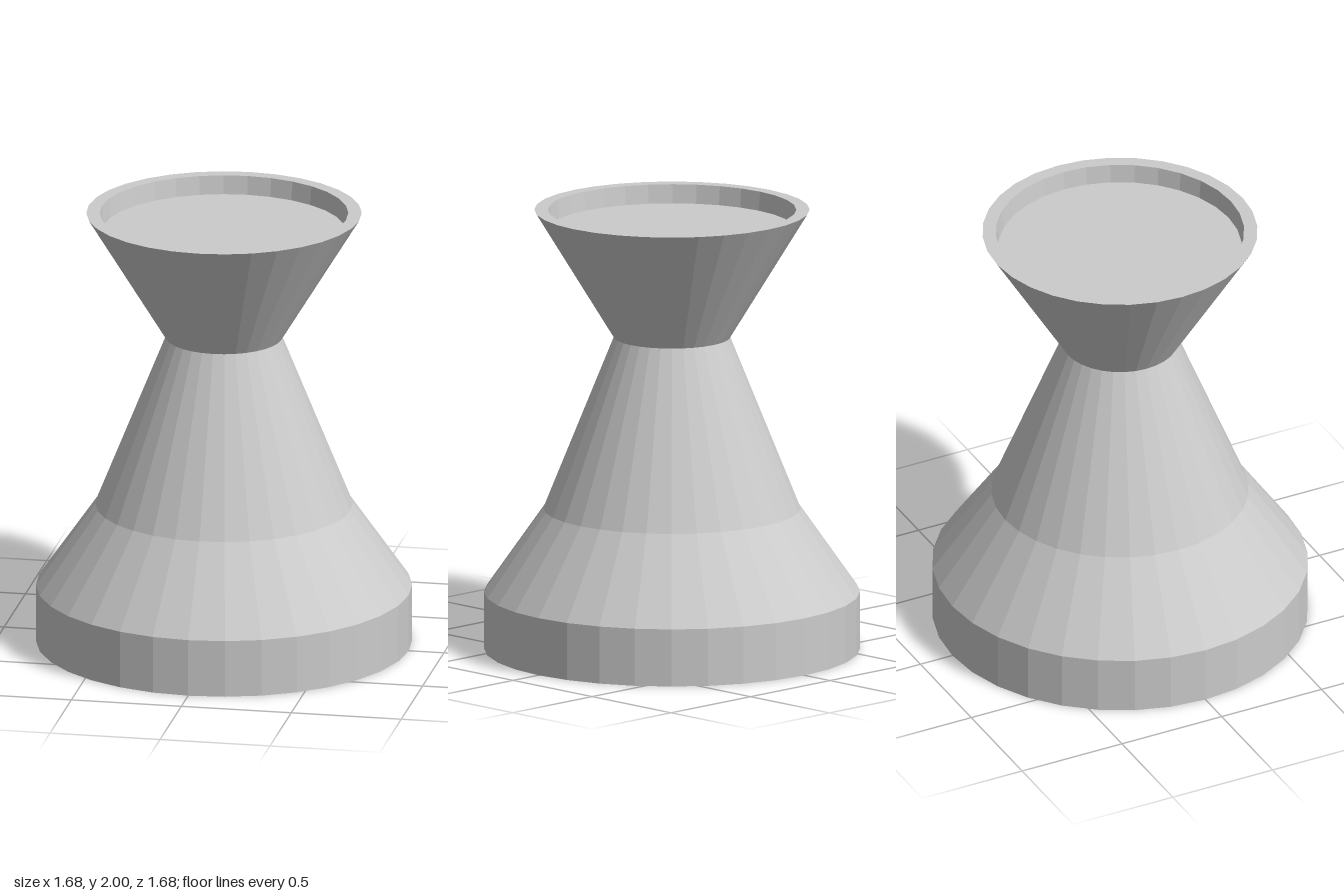
import * as THREE from 'three';

const SIDES = 32;
const material = new THREE.MeshStandardMaterial({ color: 0xcccccc, flatShading: true });

// Faceted turned part from [radius, height] pairs, listed so that faces point outward
function turned(name, profile) {
  const points = profile.map(([r, y]) => new THREE.Vector2(r, y));
  const mesh = new THREE.Mesh(new THREE.LatheGeometry(points, SIDES), material);
  mesh.name = name;
  return mesh;
}

export function createModel() {
  const group = new THREE.Group();
  group.name = 'flaredPedestal';

  group.add(
    // Flat-bottomed drum
    turned('base', [[0, 0], [0.84, 0], [0.84, 0.26]]),
    // Shoulder and tapering neck
    turned('body', [[0.84, 0.26], [0.575, 0.64], [0.26, 1.42]]),
    // Flared cup with a flat rim and a shallow recess
    turned('cup', [[0.26, 1.42], [0.615, 2], [0.555, 2], [0.545, 1.915], [0, 1.915]]),
  );

  return group;
}
